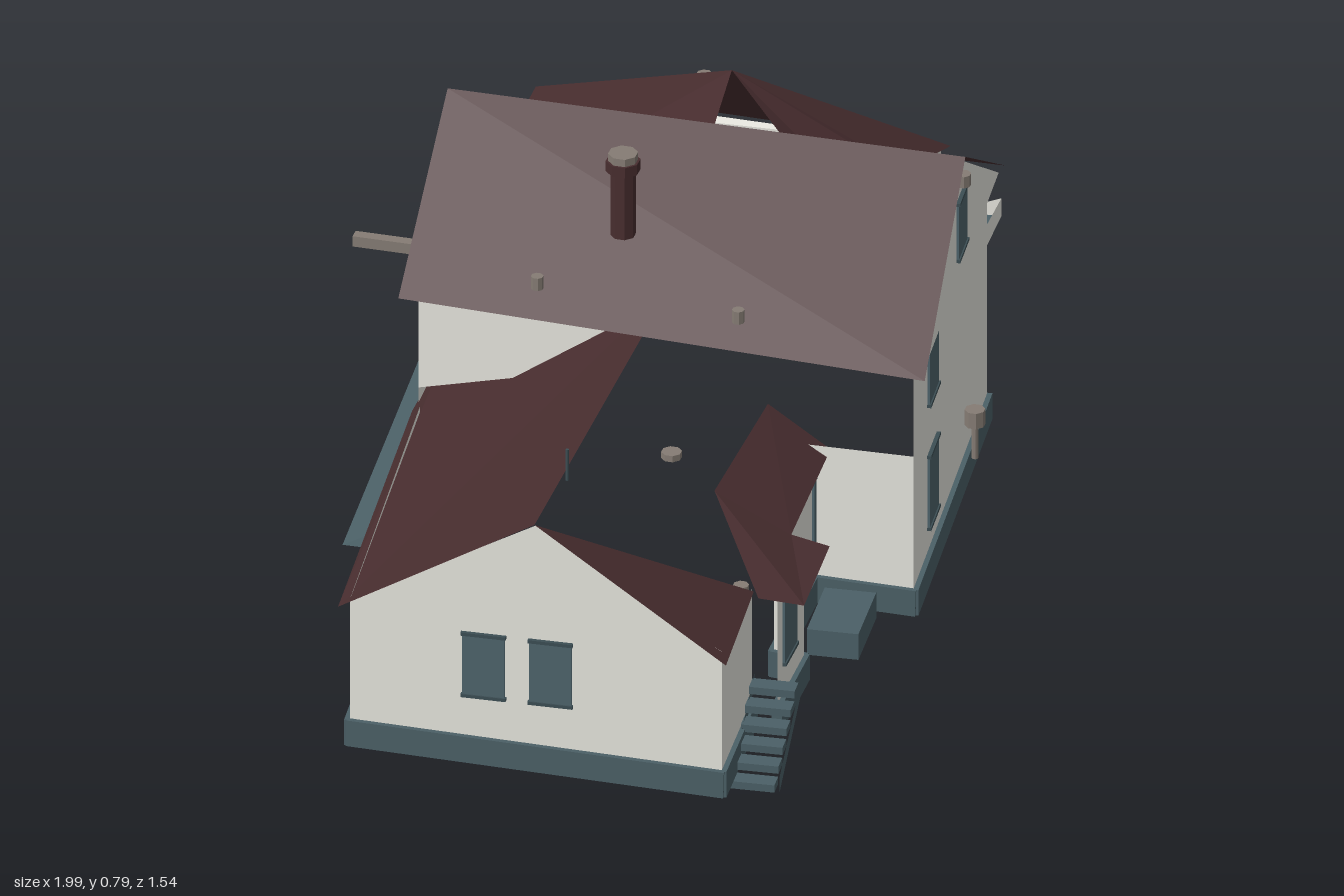
import * as THREE from 'three';

export function createModel() {
  const house = new THREE.Group();
  house.name = 'house';
  const paint = (name, color) => {
    const m = new THREE.MeshStandardMaterial({ color, side: THREE.DoubleSide, flatShading: true });
    m.name = name;
    return m;
  };
  const roofRed = paint('roofRed', 0x482d2f);
  const wallWhite = paint('wallWhite', 0xf8f7ef);
  const baseTeal = paint('baseTeal', 0x4b6067);
  const glass = paint('glass', 0x4e646c);
  const dark = paint('darkTrim', 0x3c4e54);
  const stone = paint('stone', 0x857c74);

  const add = (name, geo, mat) => {
    const mesh = new THREE.Mesh(geo, mat);
    mesh.name = name;
    house.add(mesh);
    return mesh;
  };
  // Flat sheet from a fan of corners [x, y, z]
  const sheet = (name, mat, ...pts) => {
    const pos = [];
    for (let i = 1; i < pts.length - 1; i++) pos.push(...pts[0], ...pts[i], ...pts[i + 1]);
    const geo = new THREE.BufferGeometry();
    geo.setAttribute('position', new THREE.Float32BufferAttribute(pos, 3));
    geo.computeVertexNormals();
    return add(name, geo, mat);
  };
  // The ground floor rises slightly towards the back
  const floorY = (z) => 0.088 - 0.031 * z;
  // Wall between plan points [x, z], standing on a foundation strip
  const wall = (name, a, b, topA, topB = topA) => {
    const [ya, yb] = [floorY(a[1]), floorY(b[1])];
    sheet(name, wallWhite, [a[0], ya, a[1]], [b[0], yb, b[1]], [b[0], topB, b[1]], [a[0], topA, a[1]]);
    const len = Math.hypot(b[0] - a[0], b[1] - a[1]);
    const strip = add('foundation', new THREE.BoxGeometry(len + 0.01, 0.05, 0.018), baseTeal);
    strip.position.set((a[0] + b[0]) / 2, (ya + yb) / 2 - 0.022, (a[1] + b[1]) / 2);
    strip.rotation.order = 'YZX';
    strip.rotation.y = Math.atan2(a[1] - b[1], b[0] - a[0]);
    strip.rotation.z = Math.asin((yb - ya) / len);
  };
  // Thin pane with sill and lintel at fraction t along a wall
  const pane = (name, a, b, t, w, y0, y1) => {
    const g = new THREE.Group();
    g.name = name;
    const part = (n, pw, h, d, y, mat) => {
      const m = new THREE.Mesh(new THREE.BoxGeometry(pw, h, d), mat);
      m.name = n;
      m.position.y = y;
      g.add(m);
    };
    part('pane', w, y1 - y0, 0.009, 0, glass);
    for (const s of [-1, 1]) part('sill', w + 0.004, 0.006, 0.014, s * (y1 - y0) / 2, dark);
    g.position.set(a[0] + (b[0] - a[0]) * t, (y0 + y1) / 2, a[1] + (b[1] - a[1]) * t);
    g.rotation.y = Math.atan2(a[1] - b[1], b[0] - a[0]);
    house.add(g);
  };
  const box = (name, mat, w, h, d, x, y, z, turn = 0.47) => {
    const m = add(name, new THREE.BoxGeometry(w, h, d), mat);
    m.position.set(x, y, z);
    m.rotation.y = turn;
  };
  const post = (name, mat, r, h, x, y, z) =>
    add(name, new THREE.CylinderGeometry(r, r, h, 8), mat).position.set(x, y, z);

  // Main block: gabled roof
  const apexF = [0.31, 0.735, 0.445], apexB = [-0.1, 0.768, -0.36];
  const eaveFL = [-0.02, 0.5, 0.62], eaveFR = [0.64, 0.515, 0.27];
  const eaveBL = [-0.41, 0.54, -0.22], eaveBR = [0.22, 0.55, -0.5];
  sheet('mainRoofLeft', roofRed, eaveFL, apexF, apexB, eaveBL);
  sheet('mainRoofRight', roofRed, eaveFR, eaveBR, apexB, apexF);

  // Main block: front wall, pediments and what remains of the other walls
  const F0 = [0, 0.58], F1 = [0.6, 0.26];
  wall('mainFrontWall', F0, F1, 0.505);
  sheet('frontPediment', wallWhite, [0, 0.5, 0.6], [0.62, 0.51, 0.27], [0.31, 0.725, 0.435]);
  sheet('frontSoffit', wallWhite, [0, 0.5, 0.58], [0.6, 0.505, 0.26], [0.62, 0.51, 0.27], [0, 0.5, 0.6]);
  sheet('backPediment', wallWhite, [-0.39, 0.54, -0.21], [0.2, 0.545, -0.475], [-0.095, 0.755, -0.34]);
  for (const [y0, y1] of [[0.36, 0.48], [0.12, 0.26]]) pane('frontWindow', F0, F1, 0.25, 0.085, y0, y1);
  pane('atticWindow', [0, 0.6], [0.62, 0.27], 0.5, 0.08, 0.55, 0.66);
  wall('mainSideWallFront', F0, [-0.08, 0.41], 0.33);
  sheet('mainSideWallBack', wallWhite, [-0.38, 0.36, -0.2], [-0.31, 0.4, -0.05], [-0.24, 0.515, 0.1], [-0.38, 0.535, -0.2]);
  sheet('mainBackWall', wallWhite, [-0.38, 0.1, -0.2], [-0.25, 0.1, -0.26], [-0.19, 0.5, -0.285], [-0.38, 0.53, -0.2]);
  sheet('mainBackLintel', wallWhite, [-0.19, 0.5, -0.285], [0.17, 0.53, -0.45], [0.17, 0.545, -0.45], [-0.38, 0.535, -0.2]);
  pane('backWindow', [-0.38, -0.2], [-0.19, -0.285], 0.6, 0.06, 0.38, 0.49);

  // Wedge-shaped plinth behind the main block
  const k0 = [-0.45, 0.045, -0.31], k1 = [0.16, 0.06, -0.62];
  sheet('backPlinthTop', baseTeal, [-0.41, 0.1, -0.22], [0.19, 0.11, -0.54], k1, k0);
  sheet('backPlinthUnderside', baseTeal, [-0.41, 0.045, -0.22], [0.19, 0.06, -0.54], k1, k0);

  // Left wing: back roof slope running under the main roof, gable end, long walls
  const ridge0 = [-0.85, 0.512, 0.43], ridge1 = [-0.03, 0.505, 0.075];
  sheet('sideWingRoofBack', roofRed, [-1, 0.31, 0.12], ridge0, ridge1, [-0.2, 0.335, -0.278], [-0.41, 0.33, -0.19]);
  sheet('sideWingRoofFront', roofRed, ridge0, [-0.72, 0.29, 0.745], [-0.5, 0.3, 0.63]);
  const G0 = [-0.98, 0.13], G1 = [-0.7, 0.72], B0 = [-0.4, -0.18];
  wall('gableEndWall', G0, G1, 0.32, 0.3);
  sheet('gableEndPeak', wallWhite, [-0.98, 0.32, 0.13], [-0.7, 0.3, 0.72], [-0.84, 0.505, 0.425]);
  wall('sideWingBackWall', B0, G0, 0.34, 0.32);
  wall('sideWingFrontWall', G1, [-0.48, 0.61], 0.29);
  for (const t of [0.36, 0.54]) pane('gableWindow', G0, G1, t, 0.075, 0.16, 0.28);
  pane('wingBackWindow', B0, G0, 0.15, 0.07, 0.2, 0.29);
  pane('wingBackWindow', B0, G0, 0.3, 0.085, 0.2, 0.28);
  pane('wingBackWindow', B0, G0, 0.8, 0.075, 0.15, 0.29);

  // Left porch: walls, hipped roof, deck and stairs
  const P0 = [-0.46, 0.65], P1 = [-0.3, 0.58], P2 = [-0.32, 0.53], P3 = [-0.05, 0.41];
  wall('porchWall', P0, P1, 0.29);
  wall('porchReturnWall', P1, P2, 0.29);
  wall('porchInnerWall', P2, P3, 0.31);
  pane('porchDoor', P0, P1, 0.42, 0.08, 0.13, 0.26);
  pane('porchWindow', P2, P3, 0.93, 0.035, 0.11, 0.27);
  const pG = [-0.37, 0.375, 0.44], pB = [-0.45, 0.275, 0.7], pD = [-0.31, 0.305, 0.56];
  sheet('porchRoofLeft', roofRed, [-0.5, 0.29, 0.64], pB, pG);
  sheet('porchRoofFront', roofRed, pB, [-0.28, 0.29, 0.62], pD, pG);
  sheet('porchRoofRight', roofRed, pD, [-0.04, 0.31, 0.43], [-0.08, 0.38, 0.325], pG);
  box('porchDeck', baseTeal, 0.15, 0.05, 0.09, -0.135, 0.045, 0.53);
  for (let i = 0; i < 6; i++) {
    box('stairTread', baseTeal, 0.032, 0.014, 0.08, -0.62 + i * 0.028, 0.012 + i * 0.02, 0.725 - i * 0.0135);
  }
  for (const s of [0, 1]) {
    sheet('stairStringer', baseTeal, [-0.64 + s * 0.035, 0, 0.695 + s * 0.075], [-0.48 + s * 0.035, 0.1, 0.615 + s * 0.075],
      [-0.48 + s * 0.035, 0.125, 0.615 + s * 0.075], [-0.64 + s * 0.035, 0.03, 0.695 + s * 0.075]);
  }

  // Right wing: hipped roof with a lower porch roof in front
  const hip = [0.615, 0.512, -0.31], cornerB = [0.66, 0.3, -0.775], cornerF = [0.96, 0.285, -0.107];
  const valley = [0.775, 0.335, -0.06], backIn = [0.2, 0.32, -0.56];
  sheet('hipRoofBack', roofRed, backIn, cornerB, hip, [0.4, 0.5, -0.19]);
  sheet('hipRoofEnd', roofRed, cornerB, cornerF, hip);
  sheet('hipRoofFront', roofRed, hip, cornerF, valley);
  sheet('hipRoofPorch', roofRed, hip, valley, [0.8, 0.28, 0.05], [0.59, 0.28, 0.16], [0.51, 0.4, 0]);

  // Right wing: walls, eave soffits and windows
  const R = [[0.22, -0.52], [0.64, -0.72], [0.935, -0.108], [0.77, -0.055], [0.79, 0.04], [0.6, 0.135]];
  const names = ['hipBackWall', 'hipEndWall', 'hipFrontWall', 'hipPorchReturn', 'hipPorchWall'];
  const tops = [0.315, 0.292, 0.29, 0.335, 0.285, 0.285];
  names.forEach((n, i) => wall(n, R[i], R[i + 1], tops[i], tops[i + 1]));
  const rim = (i) => [R[i][0], tops[i], R[i][1]];
  sheet('hipBackSoffit', wallWhite, rim(0), rim(1), [0.655, 0.297, -0.765], [0.2, 0.315, -0.555]);
  sheet('hipEndSoffit', wallWhite, rim(1), rim(2), [0.955, 0.282, -0.107], [0.655, 0.297, -0.765]);
  for (const t of [0.28, 0.48]) pane('endWindow', R[1], R[2], t, 0.075, 0.19, 0.265);
  pane('hipPorchWindow', R[4], R[5], 0.68, 0.1, 0.13, 0.26);

  // Balcony slab beside the right porch
  const c = [[0.775, 0.165, -0.02], [0.95, 0.165, -0.1], [0.99, 0.165, -0.02], [0.82, 0.165, 0.06]];
  sheet('balconyFloor', baseTeal, ...c);
  sheet('balconyParapet', wallWhite, c[3], c[2], [0.99, 0.2, -0.02], [0.82, 0.21, 0.06]);
  sheet('balconyEnd', wallWhite, c[2], c[1], [0.99, 0.2, -0.02]);

  // Chimney, vents, lamps and poles
  post('chimney', roofRed, 0.022, 0.14, -0.12, 0.7, 0.04);
  post('chimneyCollar', roofRed, 0.03, 0.02, -0.12, 0.765, 0.04);
  post('chimneyCap', stone, 0.026, 0.014, -0.12, 0.782, 0.04);
  for (const [x, y, z] of [[-0.28, 0.585, -0.02], [-0.13, 0.565, 0.3]]) post('roofVent', stone, 0.011, 0.024, x, y, z);
  post('hangingLamp', stone, 0.018, 0.012, -0.4, 0.435, 0.37);
  post('mast', dark, 0.003, 0.06, -0.66, 0.52, 0.35);
  post('lampPost', stone, 0.006, 0.08, 0.43, 0.11, 0.37);
  post('lampHead', stone, 0.018, 0.03, 0.43, 0.15, 0.37);
  box('backBeam', stone, 0.02, 0.02, 0.16, -0.12, 0.44, -0.45, 0.4);
  const lamps = [[0.79, 0.35, -0.51], [0.81, 0.345, -0.38], [-0.51, 0.3, 0.61], [0.31, 0.69, 0.44], [-0.1, 0.67, -0.345]];
  for (const [x, y, z] of lamps) post('wallLamp', stone, 0.014, 0.022, x, y, z);
  return house;
}
